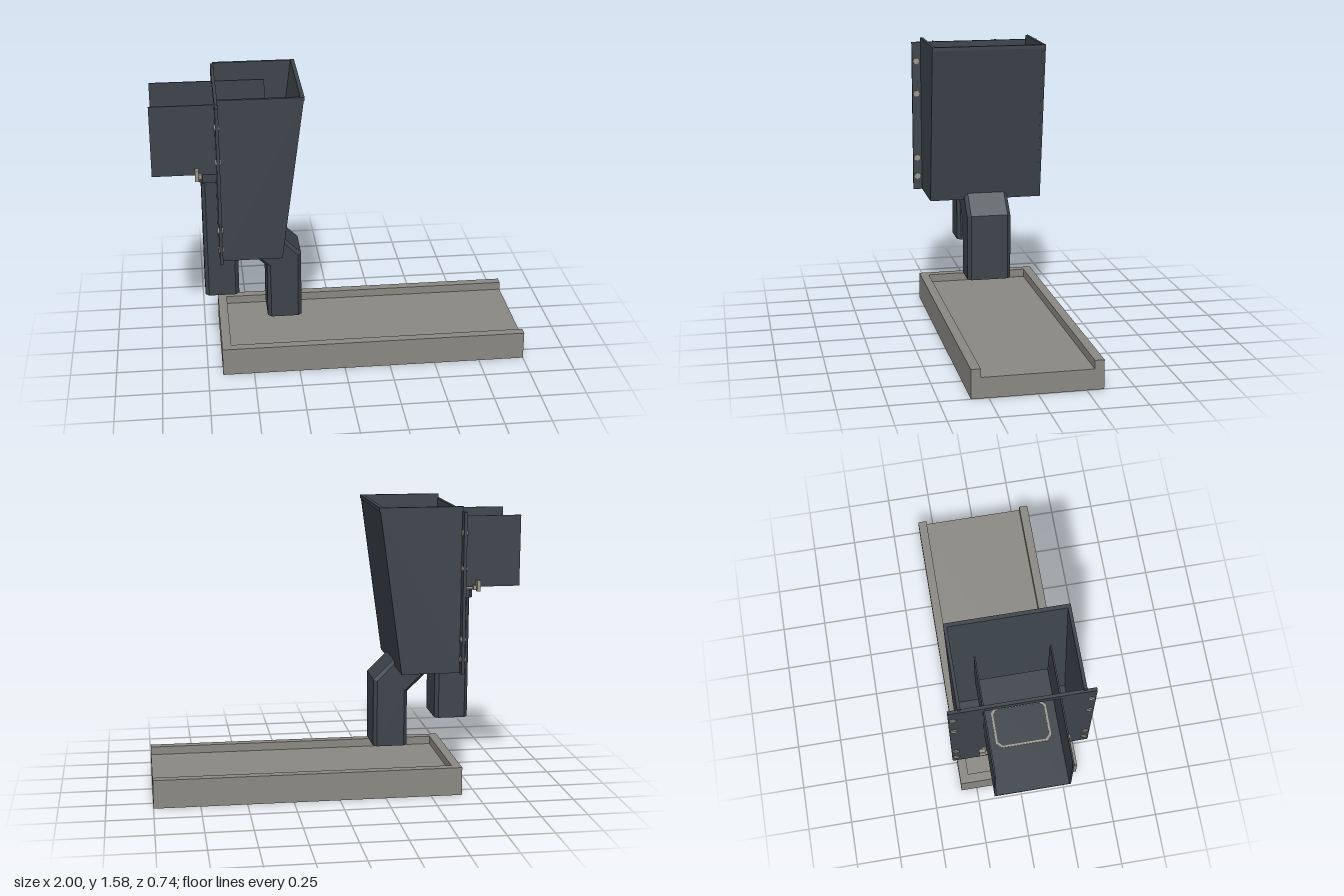
import * as THREE from 'three';

const steel = new THREE.MeshStandardMaterial({ color: 0x3c434a });
steel.name = 'dark steel';
const concrete = new THREE.MeshStandardMaterial({ color: 0x8a8882 });
concrete.name = 'grey tray';
const zinc = new THREE.MeshStandardMaterial({ color: 0x9c978b });
zinc.name = 'zinc fittings';

function add(parent, name, geometry, material) {
  const mesh = new THREE.Mesh(geometry, material);
  mesh.name = name;
  parent.add(mesh);
  return mesh;
}

// Box given by its limits on each axis
function box(parent, name, material, x0, x1, y0, y1, z0, z1) {
  const mesh = add(parent, name, new THREE.BoxGeometry(x1 - x0, y1 - y0, z1 - z0), material);
  mesh.position.set((x0 + x1) / 2, (y0 + y1) / 2, (z0 + z1) / 2);
  return mesh;
}

// Side profile in x and y, extruded from z0 to z1
function profile(points, z0, z1) {
  const shape = new THREE.Shape(points.map(([x, y]) => new THREE.Vector2(x, y)));
  return new THREE.ExtrudeGeometry(shape, { depth: z1 - z0, bevelEnabled: false }).translate(0, 0, z0);
}

// Rectangle with optionally cut corners
function rect(x0, x1, y0, y1, c = 0) {
  const p = c
    ? [[x0 + c, y0], [x1 - c, y0], [x1, y0 + c], [x1, y1 - c], [x1 - c, y1], [x0 + c, y1], [x0, y1 - c], [x0, y0 + c]]
    : [[x0, y0], [x1, y0], [x1, y1], [x0, y1]];
  return p.map(([x, y]) => new THREE.Vector2(x, y));
}

// Flat plate with one opening, drawn in x and y
function plateWithHole(outer, hole, thickness) {
  const shape = new THREE.Shape(outer);
  shape.holes.push(new THREE.Path(hole));
  return new THREE.ExtrudeGeometry(shape, { depth: thickness, bevelEnabled: false });
}

// Cross-section of a duct between two points of its side outline
function ductRing([lx, ly], [rx, ry], halfZ, inset) {
  const len = Math.hypot(rx - lx, ry - ly);
  const t = inset / len, c = 0.02 / len, h = halfZ - inset, k = 0.02;
  return [[t + c, h], [1 - t - c, h], [1 - t, h - k], [1 - t, k - h],
    [1 - t - c, -h], [t + c, -h], [t, k - h], [t, h - k]]
    .map(([s, z]) => [lx + (rx - lx) * s, ly + (ry - ly) * s, z]);
}

// Hollow duct through stations listed from top to bottom
function duct(stations, halfZ, wall) {
  const outer = stations.map(([l, r]) => ductRing(l, r, halfZ, 0));
  const inner = stations.map(([l, r]) => ductRing(l, r, halfZ, wall)).reverse();
  const rings = [...outer, ...inner, outer[0]];
  const pos = [];
  for (let j = 0; j < rings.length - 1; j++) {
    const a = rings[j], b = rings[j + 1];
    for (let i = 0; i < 8; i++) {
      const n = (i + 1) % 8;
      pos.push(...b[i], ...b[n], ...a[n], ...b[i], ...a[n], ...a[i]);
    }
  }
  const g = new THREE.BufferGeometry();
  g.setAttribute('position', new THREE.Float32BufferAttribute(pos, 3));
  g.computeVertexNormals();
  return g;
}

function makeTray() {
  const g = new THREE.Group();
  g.name = 'tray';
  box(g, 'trayFloor', concrete, -0.67, 1, 0, 0.11, -0.34, 0.34);
  box(g, 'trayEndWall', concrete, -0.67, -0.62, 0.11, 0.155, -0.29, 0.29);
  for (const s of [-1, 1]) {
    const z = [0.29 * s, 0.34 * s].sort((a, b) => a - b);
    box(g, 'traySideWall', concrete, -0.67, 1, 0.11, 0.155, z[0], z[1]);
  }
  return g;
}

function makeHopper() {
  const g = new THREE.Group();
  g.name = 'hopper';
  // Tapered side panels
  const side = [[-0.655, 0.68], [-0.333, 0.68], [-0.212, 1.555], [-0.21, 1.575], [-0.655, 1.575]];
  add(g, 'hopperSide', profile(side, 0.303, 0.32), steel);
  add(g, 'hopperSide', profile(side, -0.32, -0.303), steel);
  // Sloping panel with an upright lip along its top
  const slope = [[-0.35, 0.68], [-0.333, 0.68], [-0.213, 1.555], [-0.207, 1.555], [-0.207, 1.575], [-0.228, 1.575]];
  add(g, 'hopperSlope', profile(slope, -0.32, 0.32), steel);
  // Floor with the outlet opening
  const floor = plateWithHole(rect(-0.655, -0.335, -0.31, 0.31), rect(-0.545, -0.36, -0.11, 0.11), 0.012);
  add(g, 'hopperFloor', floor.rotateX(-Math.PI / 2).translate(0, 0.68, 0), steel);
  // Flanged plate with the opening for the inlet channel
  const plate = plateWithHole(rect(-0.37, 0.37, 0.68, 1.55), rect(-0.19, 0.19, 1.13, 1.51), 0.017);
  add(g, 'flangePlate', plate.rotateY(Math.PI / 2).translate(-0.665, 0, 0), steel);
  // Flange bolts
  for (const z of [-0.347, 0.347]) {
    for (const y of [0.76, 0.87, 1.25, 1.44]) {
      const bolt = add(g, 'flangeBolt', new THREE.CylinderGeometry(0.018, 0.018, 0.03, 8), zinc);
      bolt.rotation.z = Math.PI / 2;
      bolt.position.set(-0.657, y, z);
    }
  }
  return g;
}

function makeInlet() {
  const g = new THREE.Group();
  g.name = 'inletChannel';
  box(g, 'channelFloor', steel, -1, -0.38, 1.125, 1.133, -0.195, 0.195);
  box(g, 'channelSide', steel, -1, -0.38, 1.125, 1.51, 0.187, 0.195);
  box(g, 'channelSide', steel, -1, -0.38, 1.125, 1.51, -0.195, -0.187);
  // Thin seal around the gate
  const seal = plateWithHole(rect(-0.76, -0.545, -0.143, 0.143, 0.025), rect(-0.75, -0.555, -0.133, 0.133, 0.022), 0.004);
  add(g, 'gateSeal', seal.rotateX(-Math.PI / 2).translate(0, 1.132, 0), zinc);
  // Gate below the floor, its pivot rod and end clips
  box(g, 'gatePlate', zinc, -0.76, -0.55, 1.105, 1.125, -0.15, 0.15);
  const rod = add(g, 'gateRod', new THREE.CylinderGeometry(0.01, 0.01, 0.46, 10), zinc);
  rod.rotation.x = Math.PI / 2;
  rod.position.set(-0.765, 1.115, 0);
  for (const s of [-1, 1]) {
    box(g, 'gateClip', zinc, -0.776, -0.757, 1.105, 1.165, s * 0.22 - 0.016, s * 0.22 + 0.016);
    box(g, 'clipFoot', zinc, -0.76, -0.74, 1.11, 1.135, s * 0.208 - 0.01, s * 0.208 + 0.01);
  }
  return g;
}

function makeDucts() {
  const g = new THREE.Group();
  g.name = 'ducts';
  add(g, 'bypassDuct', duct([[[-0.745, 1.105], [-0.56, 1.105]], [[-0.745, 0.38], [-0.56, 0.38]]], 0.125, 0.008), steel);
  add(g, 'bypassCollar', duct([[[-0.757, 1.105], [-0.548, 1.105]], [[-0.757, 1.055], [-0.548, 1.055]]], 0.14, 0.014), steel);
  add(g, 'outletElbow', duct([
    [[-0.56, 0.685], [-0.332, 0.72]],
    [[-0.405, 0.535], [-0.217, 0.607]],
    [[-0.405, 0.23], [-0.217, 0.23]],
  ], 0.125, 0.008), steel);
  return g;
}

export function createModel() {
  const model = new THREE.Group();
  model.name = 'hopperWithTray';
  model.add(makeTray(), makeHopper(), makeInlet(), makeDucts());
  return model;
}
